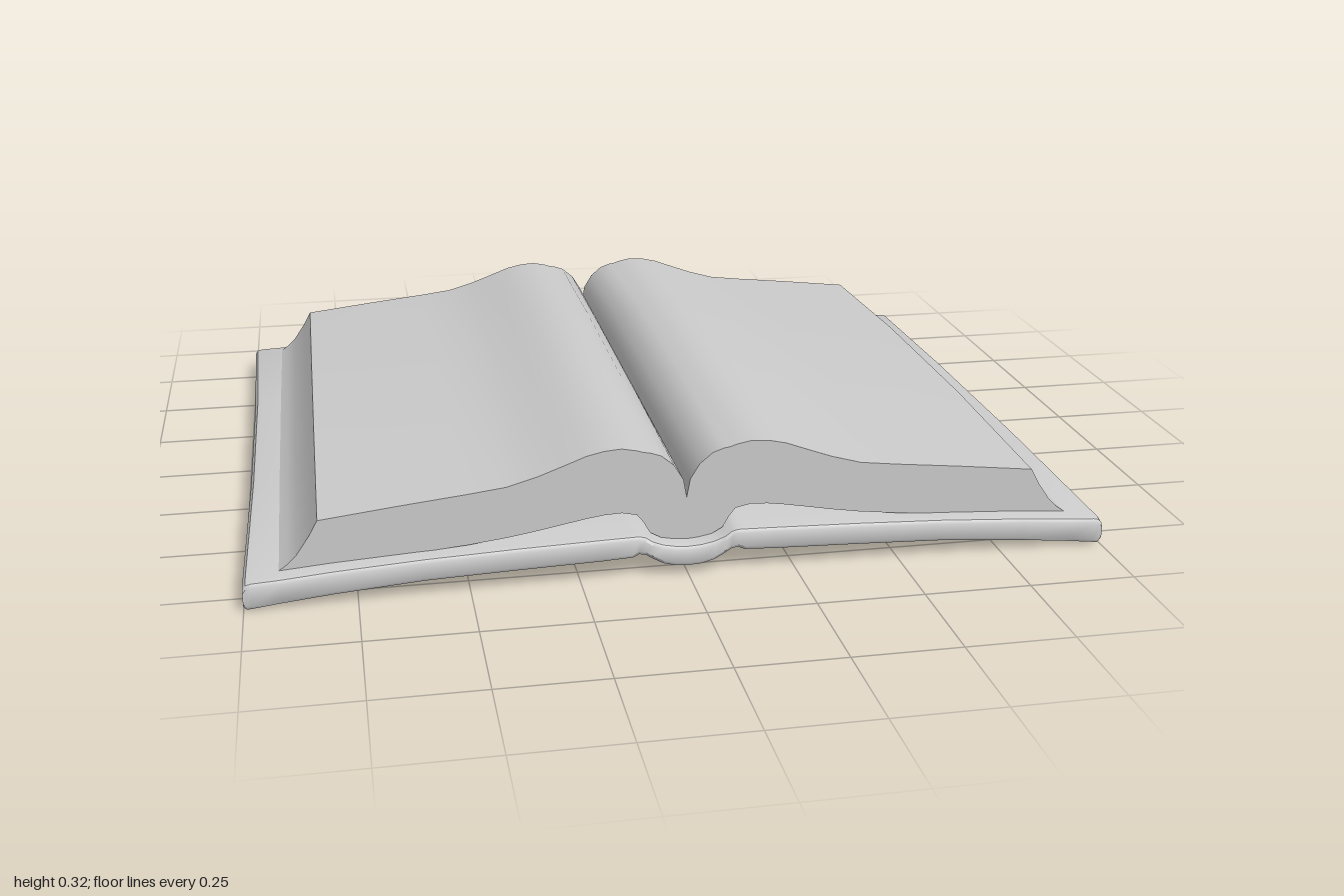
import * as THREE from 'three';
import { toCreasedNormals } from 'three/addons/utils/BufferGeometryUtils.js';

// Half sections as columns [x, bottom, top], from the spine outward
const COVER = [
  [0, 0.02, 0.075], [0.03, 0.022, 0.077], [0.06, 0.03, 0.083], [0.085, 0.044, 0.093],
  [0.1, 0.054, 0.104], [0.115, 0.057, 0.108], [0.13, 0.05, 0.108], [0.2, 0.048, 0.108],
  [0.4, 0.047, 0.107], [0.6, 0.045, 0.104], [0.8, 0.035, 0.097], [0.92, 0.026, 0.09],
  [0.98, 0.019, 0.087], [0.993, 0.018, 0.084], [1, 0.026, 0.074],
];
const PAGES = [
  [0, 0.076, 0.18], [0.008, 0.076, 0.225], [0.03, 0.078, 0.265], [0.06, 0.084, 0.295],
  [0.085, 0.098, 0.308], [0.1, 0.125, 0.313], [0.115, 0.144, 0.318], [0.15, 0.152, 0.325],
  [0.19, 0.151, 0.322], [0.23, 0.146, 0.313], [0.28, 0.138, 0.294], [0.34, 0.128, 0.272],
  [0.41, 0.118, 0.252], [0.5, 0.109, 0.241], [0.65, 0.1, 0.225], [0.83, 0.094, 0.204],
  [0.85, 0.093, 0.168], [0.88, 0.091, 0.124], [0.9, 0.09, 0.104], [0.92, 0.088, 0.09],
];

// Mirrors a half section and lofts it along z; rings are [z, inset], bend moves each point
function loft(half, rings, bend) {
  const cols = [...half.slice(1).reverse().map(([x, b, t]) => [-x, b, t]), ...half];
  const n = cols.length, m = 2 * n;
  const pos = [], idx = [];
  for (const [z, inset] of rings) {
    const top = cols.map(([x, , t]) => bend(x, t - inset, z, true));
    const bottom = cols.map(([x, b]) => bend(x, b + inset, z, false)).reverse();
    for (const p of [...top, ...bottom]) pos.push(...p);
  }
  for (let r = 0; r < rings.length - 1; r++) {
    for (let i = 0; i < m; i++) {
      const a = r * m + i, b = r * m + (i + 1) % m;
      idx.push(a, a + m, b + m, a, b + m, b);
    }
  }
  // End caps
  const last = (rings.length - 1) * m;
  for (let i = 0; i < n - 1; i++) {
    const t0 = i, t1 = i + 1, b0 = m - 1 - i, b1 = m - 2 - i;
    idx.push(last + b0, last + b1, last + t1, last + b0, last + t1, last + t0);
    idx.push(b0, t1, b1, b0, t0, t1);
  }
  const g = new THREE.BufferGeometry();
  g.setAttribute('position', new THREE.Float32BufferAttribute(pos, 3));
  g.setIndex(idx);
  return toCreasedNormals(g, 0.6);
}

// Droop toward the ends: flat in the middle, then sloping down
const droop = (z) => 0.018 * Math.max(0, Math.min(1, (Math.abs(z) - 0.28) / 0.52));
const boardWeight = (x) => Math.max(0, Math.min(1, (Math.abs(x) - 0.12) / 0.8));

export function createModel() {
  const group = new THREE.Group();
  const material = new THREE.MeshStandardMaterial({ color: 0xcccccc });
  const add = (name, geometry) => {
    const mesh = new THREE.Mesh(geometry, material);
    mesh.name = name;
    group.add(mesh);
  };

  // Cover boards with rolled spine; corners flare out slightly
  const coverRings = [[-0.82, 0.012], [-0.815, 0.004], [-0.803, 0], [-0.28, 0],
    [0.28, 0], [0.803, 0], [0.815, 0.004], [0.82, 0.012]];
  add('cover', loft(COVER, coverRings, (x, y, z) => [
    x * (0.99 + 0.01 * droop(z) / 0.018),
    y - droop(z) * boardWeight(x),
    z * (0.99 + 0.01 * x * x),
  ]));

  // Page block, with the upper leaves drooping more than the underside
  const pageRings = [[-0.775, 0], [-0.28, 0], [0.28, 0], [0.775, 0]];
  add('pages', loft(PAGES, pageRings, (x, y, z, isTop) => [
    x,
    y - droop(z) * (isTop ? Math.min(1, Math.abs(x) / 0.1) : boardWeight(x)),
    z,
  ]));
  return group;
}
